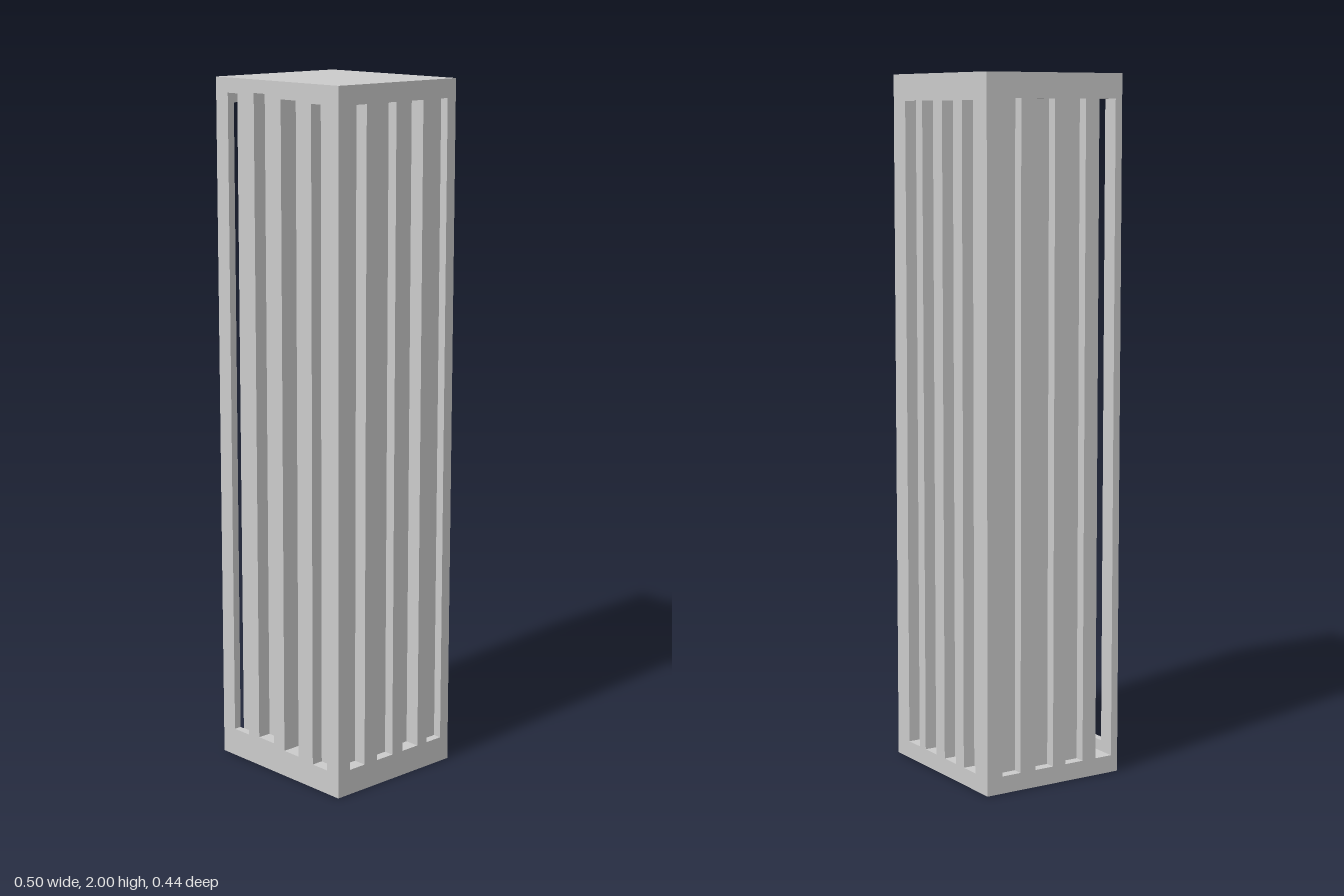
import * as THREE from 'three';

const HALF = { x: 0.25, z: 0.222 };
const HEIGHT = 2;

// Slots per side: [from, to, bottom, top, depth] along that side
const SLOTS = {
  front: [
    [-0.2, -0.137, 0.082, 1.958, 0.035], [-0.09, -0.024, 0.087, 1.963, 0.04],
    [0.021, 0.082, 0.077, 1.952, 0.11], [0.143, 0.204, 0.071, 1.947, 0.035],
  ],
  back: [0.123, 0.028, -0.08, -0.185].map((x) => [x, x + 0.062, 0.05, 1.925, 0.035]),
  right: [
    [0.119, 0.177, 0.074, 1.947, 0.04], [0.008, 0.069, 0.074, 1.947, 0.03],
    [-0.095, -0.034, 0.074, 1.947, 0.045], [-0.19, -0.132, 0.074, 1.947, 0.025],
  ],
  left: [
    [-0.172, -0.112, 0.05, 1.93, 0.03], [-0.062, -0.002, 0.05, 1.93, 0.03],
    [0.04, 0.1, 0.05, 1.93, 0.03], [0.145, 0.2, 0.05, 1.93, 0.113],
  ],
};

// Turn a slot into the box it removes: [min, max]
function slotBox(side, [from, to, bottom, top, depth]) {
  switch (side) {
    case 'front': return [[from, bottom, HALF.z - depth], [to, top, HALF.z]];
    case 'back': return [[from, bottom, -HALF.z], [to, top, -HALF.z + depth]];
    case 'right': return [[HALF.x - depth, bottom, from], [HALF.x, top, to]];
    default: return [[-HALF.x, bottom, from], [-HALF.x + depth, top, to]];
  }
}

// Skin of a box with smaller boxes cut out of it, found cell by cell
function carvedBox(min, max, cuts) {
  const levels = [0, 1, 2].map((a) =>
    [...new Set([min[a], max[a], ...cuts.flatMap((c) => [c[0][a], c[1][a]])])].sort((p, q) => p - q));
  const solid = (cell) => {
    if (cell.some((i, a) => i < 0 || i >= levels[a].length - 1)) return false;
    const mid = cell.map((i, a) => (levels[a][i] + levels[a][i + 1]) / 2);
    return !cuts.some(([lo, hi]) => mid.every((m, a) => m > lo[a] && m < hi[a]));
  };
  const positions = [];
  const addFace = (cell, axis, dir) => {
    const u = (axis + 1) % 3, v = (axis + 2) % 3;
    const corner = (du, dv) => {
      const p = [0, 0, 0];
      p[axis] = levels[axis][cell[axis] + (dir > 0 ? 1 : 0)];
      p[u] = levels[u][cell[u] + du];
      p[v] = levels[v][cell[v] + dv];
      return p;
    };
    const [a, b, c, d] = [corner(0, 0), corner(1, 0), corner(1, 1), corner(0, 1)];
    const order = dir > 0 ? [a, b, c, a, c, d] : [a, c, b, a, d, c];
    positions.push(...order.flat());
  };
  for (let i = 0; i < levels[0].length - 1; i++)
    for (let j = 0; j < levels[1].length - 1; j++)
      for (let k = 0; k < levels[2].length - 1; k++) {
        const cell = [i, j, k];
        if (!solid(cell)) continue;
        for (let axis = 0; axis < 3; axis++)
          for (const dir of [-1, 1]) {
            const next = [...cell];
            next[axis] += dir;
            if (!solid(next)) addFace(cell, axis, dir);
          }
      }
  const geometry = new THREE.BufferGeometry();
  geometry.setAttribute('position', new THREE.Float32BufferAttribute(positions, 3));
  geometry.computeVertexNormals();
  return geometry;
}

export function createModel() {
  const group = new THREE.Group();
  group.name = 'slottedTower';
  const cuts = Object.entries(SLOTS).flatMap(([side, list]) => list.map((s) => slotBox(side, s)));

  // Square tower with tall recessed slots on all four sides
  const tower = new THREE.Mesh(
    carvedBox([-HALF.x, 0, -HALF.z], [HALF.x, HEIGHT, HALF.z], cuts),
    new THREE.MeshStandardMaterial({ color: 0xcccccc, flatShading: true }),
  );
  tower.name = 'towerBody';
  group.add(tower);
  return group;
}
